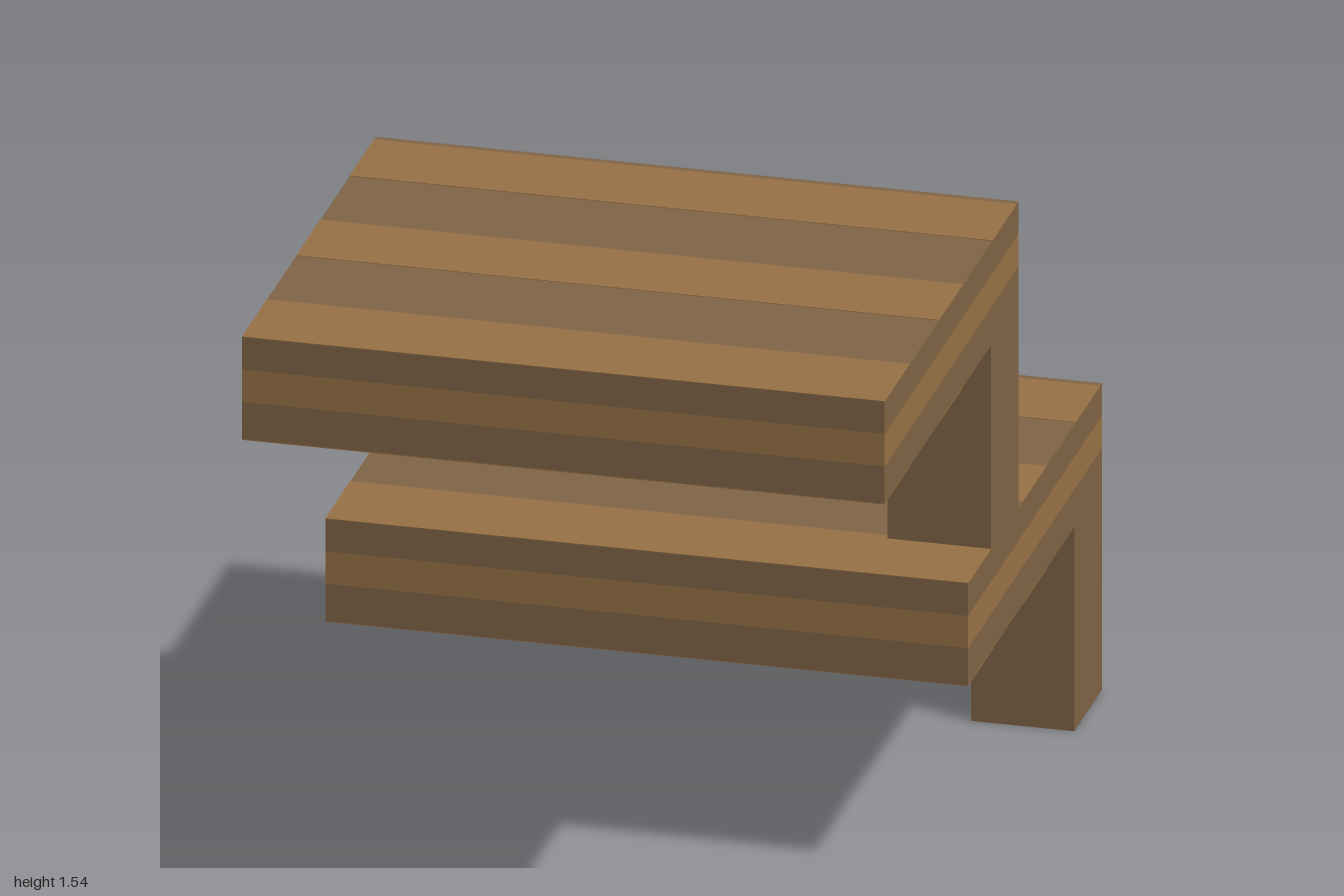
import * as THREE from 'three';

const lightWood = new THREE.MeshStandardMaterial({ color: 0x987146 });
lightWood.name = 'lightWood';
const darkWood = new THREE.MeshStandardMaterial({ color: 0x806446 });
darkWood.name = 'darkWood';

const HALF_W = 0.767;   // half width in x
const THICK = 0.256;    // slab thickness
const DEPTH = 1.233;    // slab depth in z
const POST_W = 0.247;
const POST_D = 0.256;

// Box given by its minimum and maximum corners
function box(name, min, max, material) {
  const size = max.map((v, i) => v - min[i]);
  const mesh = new THREE.Mesh(new THREE.BoxGeometry(...size), material);
  mesh.position.set(...max.map((v, i) => (v + min[i]) / 2));
  mesh.name = name;
  return mesh;
}

// One step: striped slab carried by a post at its left back corner
function createStep(name, baseY, backZ) {
  const step = new THREE.Group();
  step.name = name;
  const postH = 0.512;
  const y0 = baseY + postH;
  const frontZ = backZ + DEPTH;

  step.add(box('post',
    [HALF_W - POST_W, baseY, backZ], [HALF_W, y0, backZ + POST_D], darkWood));

  // Three layers give the stripe around the edge
  const levels = [0, 0.094, 0.175, THICK];
  ['lowerLayer', 'middleLayer', 'upperLayer'].forEach((layer, i) => {
    step.add(box(layer,
      [-HALF_W, y0 + levels[i], backZ], [HALF_W, y0 + levels[i + 1], frontZ],
      i === 1 ? lightWood : darkWood));
  });

  // Light planks on the top and underside, as distances from the front edge
  const t = 0.0015;
  for (const [near, far] of [[0, 0.23], [0.5, 0.72], [0.99, 1.214]]) {
    const z0 = frontZ - far, z1 = frontZ - near;
    step.add(box('topPlank',
      [-HALF_W, y0 + THICK - t, z0], [HALF_W, y0 + THICK + t, z1], lightWood));
    // The underside planks stop short of the post where they meet it
    const right = z0 < backZ + POST_D ? HALF_W - POST_W : HALF_W;
    step.add(box('undersidePlank',
      [-HALF_W, y0 - t, z0], [right, y0 + t, z1], lightWood));
  }
  return step;
}

export function createModel() {
  const model = new THREE.Group();
  model.name = 'stairs';
  model.add(createStep('lowerStep', 0, -1));
  model.add(createStep('upperStep', 0.768, -0.233));
  return model;
}
